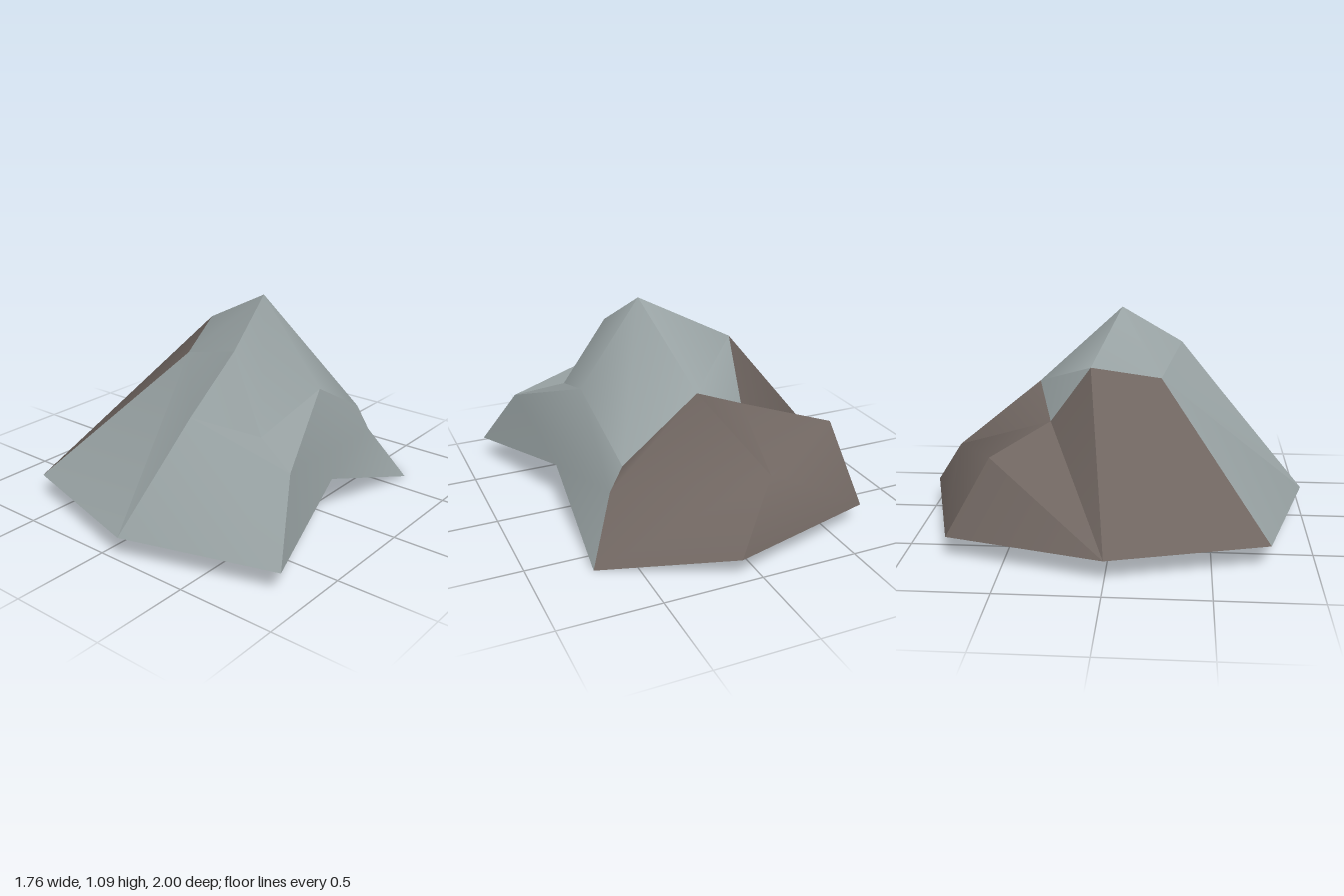
import * as THREE from 'three';
import { toCreasedNormals } from 'three/addons/utils/BufferGeometryUtils.js';

// Corner points of the rock
const P = {
  // base rim, counted round from the back
  b0: [0.11, 0.12, -1], b1: [-0.67, 0.12, -0.78], b2: [-0.885, 0.12, 0], b3: [-0.67, 0.12, 0.78],
  b4: [0.11, 0.12, 1], b5: [0.88, 0.12, 0.77], notch: [0.66, 0.23, 0.05], b7: [0.70, 0, -0.63],
  baseMid: [0, 0.12, 0],
  // middle ledges
  backRidge: [-0.13, 0.41, -0.81], backCorner: [-0.6, 0.505, -0.565], sideBack: [0.55, 0.30, -0.465],
  sideFront: [0.74, 0.46, 0.52], shelf: [0.2, 0.61, 0.58],
  // rim of the cap
  apex: [0.2, 1.09, 0.02], capLeft: [-0.25, 0.865, -0.11], capDip: [-0.22, 0.573, -0.32],
  capBack: [0.07, 0.71, -0.41], capTail: [0.48, 0.42, -0.455], capSide: [0.53, 0.66, -0.01],
  capCorner: [0.49, 0.53, 0.41], capFront: [0.27, 0.89, 0.34], capFace: [-0.11, 0.78, 0.24],
};
const core = new THREE.Vector3(0.1, 0.3, 0);

// Builds a patch of triangles turned to face away from the core, smooth up to the crease angle
function patch(name, material, faces, crease) {
  const points = [];
  for (const face of faces) {
    const [a, b, c] = face.split(' ').map((key) => new THREE.Vector3(...P[key]));
    const normal = b.clone().sub(a).cross(c.clone().sub(a));
    const outward = normal.dot(a.clone().sub(core)) > 0;
    points.push(a, ...(outward ? [b, c] : [c, b]));
  }
  const geometry = toCreasedNormals(new THREE.BufferGeometry().setFromPoints(points), crease);
  const mesh = new THREE.Mesh(geometry, material);
  mesh.name = name;
  return mesh;
}

export function createModel() {
  const stone = new THREE.MeshStandardMaterial({ color: 0x98a2a3 });
  stone.name = 'greyStone';
  const earth = new THREE.MeshStandardMaterial({ color: 0x6f6560 });
  earth.name = 'brownStone';

  const rock = new THREE.Group();
  rock.name = 'rock';

  // Rounded cap around the peak
  rock.add(patch('cap', stone, [
    'apex capLeft capBack', 'capLeft capDip capBack', 'apex capBack capTail', 'apex capTail capSide',
    'apex capSide capCorner', 'apex capCorner capFront', 'apex capFront capFace', 'apex capFace capLeft',
  ], 1.2));

  // Broad front slope with its small shelf
  rock.add(patch('frontSlope', stone, [
    'b3 b4 capFace', 'b4 shelf capFace', 'b4 b5 shelf', 'b5 sideFront shelf',
    'capFace shelf capFront', 'capFront shelf capCorner', 'shelf sideFront capCorner',
  ], 0.6));

  // Notched side
  rock.add(patch('notchedSide', stone, [
    'capCorner sideFront capSide', 'capSide sideFront sideBack', 'capSide sideBack capTail',
    'sideFront b5 notch', 'sideFront notch sideBack', 'notch b7 sideBack',
  ], 0.7));

  // Brown back slope
  rock.add(patch('backSlope', earth, [
    'b0 backRidge b7', 'b7 backRidge sideBack', 'sideBack backRidge capBack', 'sideBack capBack capTail',
    'backRidge capDip capBack', 'backRidge backCorner capDip', 'backRidge b1 backCorner', 'b0 b1 backRidge',
  ], 0.9));

  // Brown left slope
  rock.add(patch('leftSlope', earth, [
    'b1 b2 backCorner', 'backCorner b2 capDip', 'b2 capLeft capDip', 'b2 b3 capLeft', 'b3 capFace capLeft',
  ], 0.9));

  // Underside fan
  const rim = ['b0', 'b1', 'b2', 'b3', 'b4', 'b5', 'notch', 'b7'];
  rock.add(patch('underside', stone, rim.map((key, i) => `baseMid ${key} ${rim[(i + 1) % rim.length]}`), 0.6));

  return rock;
}
